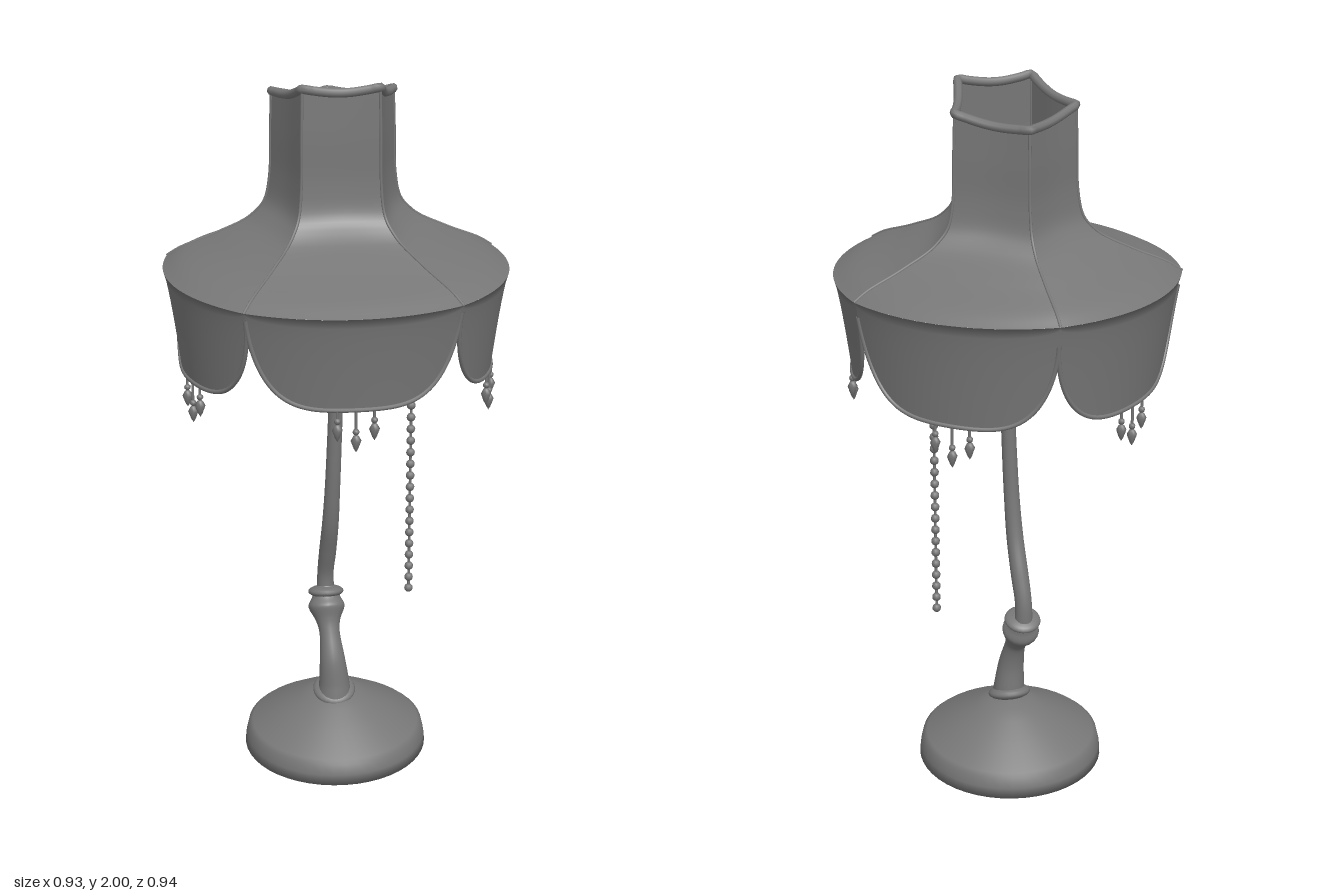
import * as THREE from 'three';
import { ParametricGeometry } from 'three/addons/geometries/ParametricGeometry.js';

const material = new THREE.MeshStandardMaterial({ color: 0x777777, side: THREE.DoubleSide });
const V = (x, y, z) => new THREE.Vector3(x, y, z);
const HALF = Math.PI / 5; // half the angle of one shade panel
const RIM_R = 0.474, RIM_Y = 1.488, RIM_K = 0.1;

function add(parent, name, geometry, x = 0, y = 0, z = 0) {
  const mesh = new THREE.Mesh(geometry, material);
  mesh.name = name;
  mesh.position.set(x, y, z);
  parent.add(mesh);
  return mesh;
}

// Round trim through a list of points
function trim(parent, name, points, radius, closed = false) {
  const curve = new THREE.CatmullRomCurve3(points, closed, 'centripetal');
  add(parent, name, new THREE.TubeGeometry(curve, points.length * 2, radius, 8, closed));
}

// Surface of revolution from [radius, height] pairs
const lathe = (profile, segments) =>
  new THREE.LatheGeometry(profile.map(q => new THREE.Vector2(...q)), segments);

// Round sweep along a path in [x, y, z, radius] stations
function loft(stations) {
  const path = new THREE.CatmullRomCurve3(stations.map(s => V(s[0], s[1], s[2])));
  const radii = new THREE.CatmullRomCurve3(stations.map((s, i) => V(s[3], i, 0)));
  const side = V(1, 0, 0);
  return new ParametricGeometry((u, v, target) => {
    const out = V(0, 0, 0).crossVectors(side, path.getTangent(v)).normalize();
    const r = radii.getPoint(v).x;
    const a = u * Math.PI * 2;
    target.copy(path.getPoint(v))
      .addScaledVector(side, r * Math.cos(a))
      .addScaledVector(out, r * Math.sin(a));
  }, 20, 48);
}

// Crown profile: rib radius, height, and how five-sided the section is
const crownProfile = new THREE.CatmullRomCurve3([
  V(RIM_R, RIM_Y, RIM_K), V(0.437, 1.511, 0.2), V(0.332, 1.555, 0.55), V(0.226, 1.612, 0.9),
  V(0.19, 1.66, 1), V(0.178, 1.73, 1), V(0.175, 1.85, 1), V(0.171, 1.96, 1),
]);

// Radius factor of a panel: 1 at its ribs, drawn in between them
function sectionFactor(t, k) {
  const pentagon = Math.cos(HALF) / Math.cos(t * HALF) - 0.025 * (1 - t * t);
  return 1 - k + k * pentagon;
}

// Point on a crown panel: t runs -1..1 between ribs, v runs from rim to top
function crownPoint(panel, t, v) {
  const { x: R, y, z: k } = crownProfile.getPoint(v);
  const a = panel * 2 * HALF + t * HALF;
  const r = R * sectionFactor(t, k);
  const z = r * Math.cos(a) - 0.036 * (k - RIM_K) / (1 - RIM_K);
  const w = THREE.MathUtils.clamp((y - 1.7) / 0.26, 0, 1);
  return V(r * Math.sin(a), y + w * (0.006 + 0.22 * z - 0.012 * (1 - t * t)), z);
}

// Point on a scalloped skirt panel: v runs from the lower edge to the rim
function skirtPoint(panel, t, v) {
  const a = panel * 2 * HALF + t * HALF;
  const rise = 1 - Math.sqrt(Math.max(0, 1 - t ** 4));
  const low = 1.213 + 0.02 * Math.cos(a) + 0.24 * rise;
  const y = THREE.MathUtils.lerp(low, RIM_Y, v);
  const d = (RIM_Y - y) / 0.28;
  const r = RIM_R * sectionFactor(t, RIM_K) - 0.043 * Math.pow(d, 0.75);
  return V(r * Math.sin(a), y, r * Math.cos(a));
}

function makeShade() {
  const shade = new THREE.Group();
  shade.name = 'shade';
  const ease = u => Math.sin((u - 0.5) * Math.PI);
  const topEdge = [];
  for (let p = 0; p < 5; p++) {
    add(shade, 'crownPanel', new ParametricGeometry(
      (u, v, o) => o.copy(crownPoint(p, u * 2 - 1, v)), 16, 36));
    add(shade, 'skirtPanel', new ParametricGeometry(
      (u, v, o) => o.copy(skirtPoint(p, ease(u), v)), 36, 10));
    const scallop = [], rib = [];
    for (let i = 0; i <= 32; i++) {
      scallop.push(skirtPoint(p, ease(i / 32), 0));
      rib.push(crownPoint(p, 1, i / 32));
    }
    trim(shade, 'scallopTrim', scallop, 0.006);
    trim(shade, 'rib', rib, 0.004);
    for (let i = 0; i < 10; i++) topEdge.push(crownPoint(p, i / 5 - 1, 1));
  }
  trim(shade, 'topTrim', topEdge, 0.012, true);
  // Sunken five-sided closure inside the neck
  add(shade, 'neckClosure',
    new THREE.CylinderGeometry(0.165, 0.002, 0.1, 5, 1, true, HALF), 0, 1.69, -0.036);
  return shade;
}

// Hanging tassel: thread, small bead and pointed drop, origin at its top
function makeTassel(length) {
  const tassel = new THREE.Group();
  tassel.name = 'tassel';
  add(tassel, 'thread', new THREE.CylinderGeometry(0.004, 0.004, length, 6), 0, -length / 2, 0);
  add(tassel, 'bead', new THREE.SphereGeometry(0.009, 8, 6), 0, 0.012 - length, 0);
  add(tassel, 'drop', lathe(
    [[0, -0.032], [0.006, -0.022], [0.014, 0], [0.008, 0.012], [0, 0.018]], 8),
  0, -length - 0.012, 0);
  return tassel;
}

export function createModel() {
  const lamp = new THREE.Group();
  lamp.name = 'tableLamp';

  // Foot
  add(lamp, 'base', lathe([[0, 0], [0.267, 0], [0.264, 0.03], [0.257, 0.06], [0.245, 0.07],
    [0.16, 0.122], [0.1, 0.152], [0.06, 0.172], [0, 0.18]], 48), 0, 0, -0.04);

  // Crooked post with a knob, then the bent pole
  add(lamp, 'lowerPost', loft([
    [-0.005, 0.16, -0.012, 0.05], [-0.005, 0.2, -0.015, 0.045], [-0.01, 0.28, -0.02, 0.037],
    [-0.015, 0.35, -0.042, 0.03], [-0.018, 0.385, -0.06, 0.036], [-0.02, 0.42, -0.08, 0.053],
    [-0.02, 0.445, -0.092, 0.042], [-0.02, 0.475, -0.105, 0.03],
  ]));
  add(lamp, 'pole', loft([
    [-0.02, 0.45, -0.108, 0.026], [-0.02, 0.52, -0.106, 0.024], [-0.016, 0.6, -0.083, 0.025],
    [-0.012, 0.7, -0.05, 0.024], [-0.008, 0.82, -0.031, 0.022], [-0.004, 0.95, -0.022, 0.021],
    [0, 1.1, -0.018, 0.02], [0, 1.28, -0.015, 0.018],
  ]));
  add(lamp, 'poleTip', new THREE.SphereGeometry(0.024, 16, 12), 0, 1.28, -0.015);
  const lowerCollar = add(lamp, 'lowerCollar',
    new THREE.SphereGeometry(0.062, 24, 12), -0.005, 0.18, -0.018);
  lowerCollar.scale.y = 0.35;
  lowerCollar.rotation.x = 0.35;
  const upperCollar = add(lamp, 'upperCollar',
    new THREE.SphereGeometry(0.052, 24, 12), -0.02, 0.462, -0.098);
  upperCollar.scale.y = 0.35;
  upperCollar.rotation.x = -0.3;

  lamp.add(makeShade());

  // Three tassels under the middle of each skirt panel
  for (let p = 0; p < 5; p++) {
    for (let i = -1; i <= 1; i++) {
      const tassel = makeTassel(i === 0 ? 0.072 : 0.042);
      tassel.position.copy(skirtPoint(p, i * 0.18, 0));
      lamp.add(tassel);
    }
  }

  // Beaded pull chain
  const chain = new THREE.Group();
  chain.name = 'pullChain';
  chain.position.set(0.213, 0, -0.021);
  add(chain, 'cord', new THREE.CylinderGeometry(0.004, 0.004, 0.9, 6), 0, 0.95, 0);
  const bead = new THREE.SphereGeometry(0.0125, 10, 8);
  for (let i = 0; i < 26; i++) add(chain, 'chainBead', bead, 0, 0.497 + i * 0.0355, 0);
  lamp.add(chain);

  return lamp;
}
